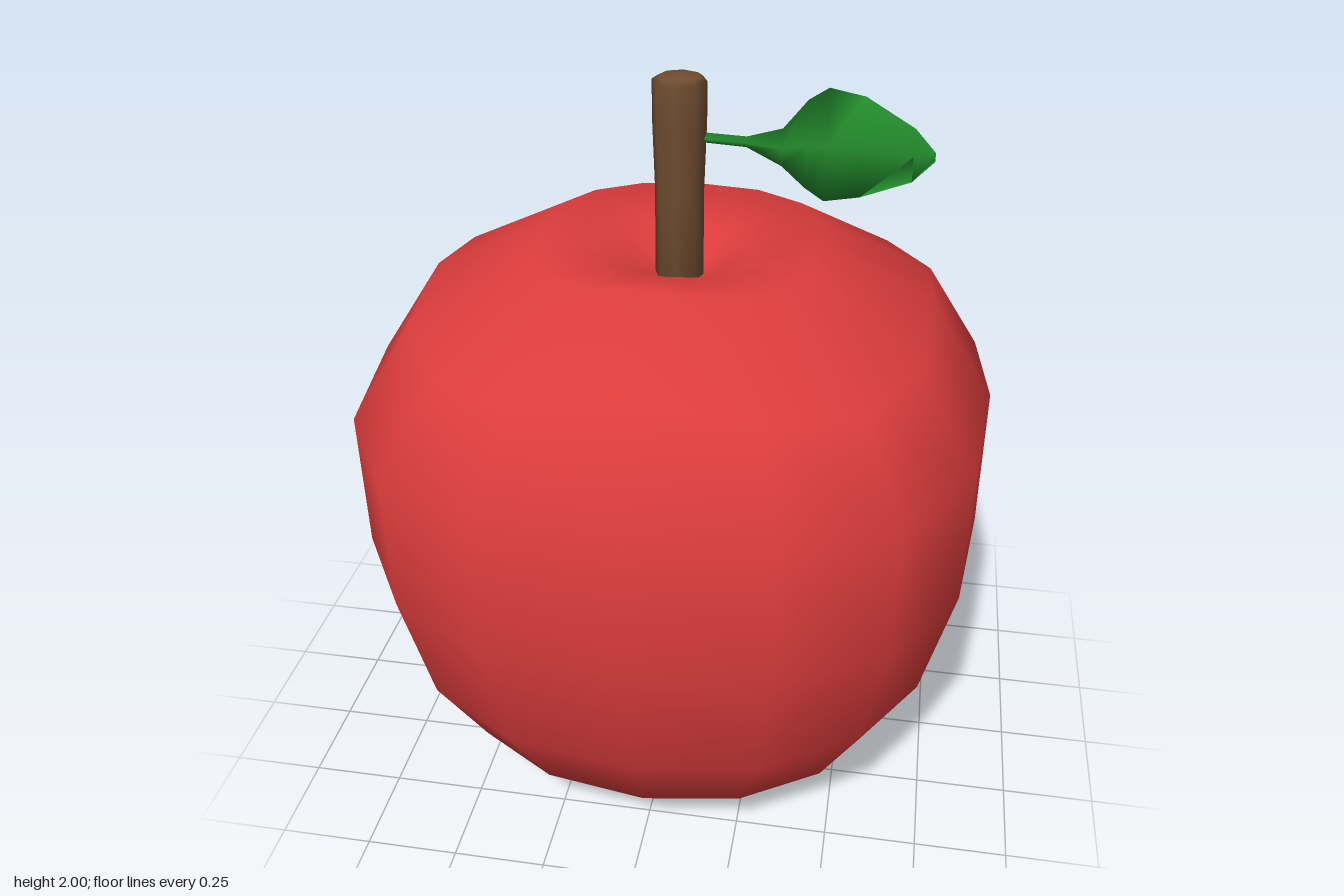
import * as THREE from 'three';

// Skin a closed surface over a list of rings (each an array of [x, y, z]).
function loft(rings) {
  const n = rings[0].length;
  const index = [];
  for (let i = 0; i < rings.length - 1; i++) {
    for (let j = 0; j < n; j++) {
      const k = (j + 1) % n;
      const a = i * n + j, b = a + n, c = (i + 1) * n + k, d = i * n + k;
      index.push(a, b, c, a, c, d);
    }
  }
  // End caps
  for (let j = 1; j < n - 1; j++) {
    const e = (rings.length - 1) * n;
    index.push(0, j, j + 1, e, e + j + 1, e + j);
  }
  const geo = new THREE.BufferGeometry();
  geo.setAttribute('position', new THREE.Float32BufferAttribute(rings.flat(2), 3));
  geo.setIndex(index);
  geo.computeVertexNormals();
  return geo;
}

function part(name, geometry, color, side = THREE.FrontSide) {
  const mesh = new THREE.Mesh(geometry, new THREE.MeshStandardMaterial({ color, side }));
  mesh.name = name;
  return mesh;
}

// Fruit body: squarish rings with dimples at top and bottom.
function bodyGeometry() {
  // [radius on axis, y on axis, radius on diagonal, y on diagonal]
  const rows = [
    [0.03, 1.45, 0.03, 1.45],
    [0.08, 1.47, 0.08, 1.47],
    [0.18, 1.53, 0.19, 1.53],
    [0.365, 1.575, 0.41, 1.565],
    [0.665, 1.44, 0.75, 1.37],
    [0.84, 1.17, 0.905, 1.13],
    [0.84, 0.77, 0.895, 0.76],
    [0.745, 0.4, 0.81, 0.43],
    [0.59, 0.14, 0.67, 0.2],
    [0.32, 0.01, 0.36, 0.005],
    [0.15, 0.06, 0.16, 0.06],
    [0.03, 0.09, 0.03, 0.09],
  ];
  const steps = [0, 24.4, 45, 65.6];
  return loft(rows.map(([r0, y0, r1, y1]) => {
    const ring = [];
    for (let q = 0; q < 4; q++) {
      for (const s of steps) {
        const a = THREE.MathUtils.degToRad(q * 90 + s);
        const t = Math.pow(Math.abs(Math.sin(2 * a)), 1.4);
        const r = r0 + (r1 - r0) * t;
        ring.push([r * Math.sin(a), y0 + (y1 - y0) * t, r * Math.cos(a)]);
      }
    }
    return ring;
  }));
}

// Stem: eight sides with a slightly domed top.
function stemGeometry() {
  const profile = [[0, 1.42], [0.064, 1.42], [0.064, 1.7], [0.07, 1.88], [0.07, 1.98], [0.055, 1.99], [0, 2]];
  return new THREE.LatheGeometry(profile.map(([x, y]) => new THREE.Vector2(x, y)), 8);
}

// Leaf with its stalk: thin diamond sections, gently twisted.
function leafGeometry() {
  // [x, lower y, upper y, z of the midrib, half thickness]
  const sections = [
    [0.04, 1.825, 1.85, 0, 0.012],
    [0.17, 1.818, 1.845, 0, 0.012],
    [0.26, 1.775, 1.87, 0, 0.014],
    [0.32, 1.725, 1.945, 0.004, 0.014],
    [0.37, 1.695, 1.978, 0.008, 0.014],
    [0.46, 1.712, 1.962, 0.012, 0.013],
    [0.585, 1.755, 1.888, 0.004, 0.01],
    [0.638, 1.808, 1.83, 0, 0.004],
  ];
  return loft(sections.map(([x, lo, hi, z, h]) => {
    const mid = (lo + hi) / 2;
    const lean = (y) => z - 0.09 * (y - 1.83);
    return [
      [x, mid, lean(mid) + h],
      [x, hi, lean(hi)],
      [x, mid, lean(mid) - h],
      [x, lo, lean(lo)],
    ];
  }));
}

export function createModel() {
  const group = new THREE.Group();
  group.name = 'apple';
  group.add(
    part('body', bodyGeometry(), 0xdc3c3c),
    part('stem', stemGeometry(), 0x6f4c30),
    part('leaf', leafGeometry(), 0x228a2c, THREE.DoubleSide),
  );
  return group;
}
